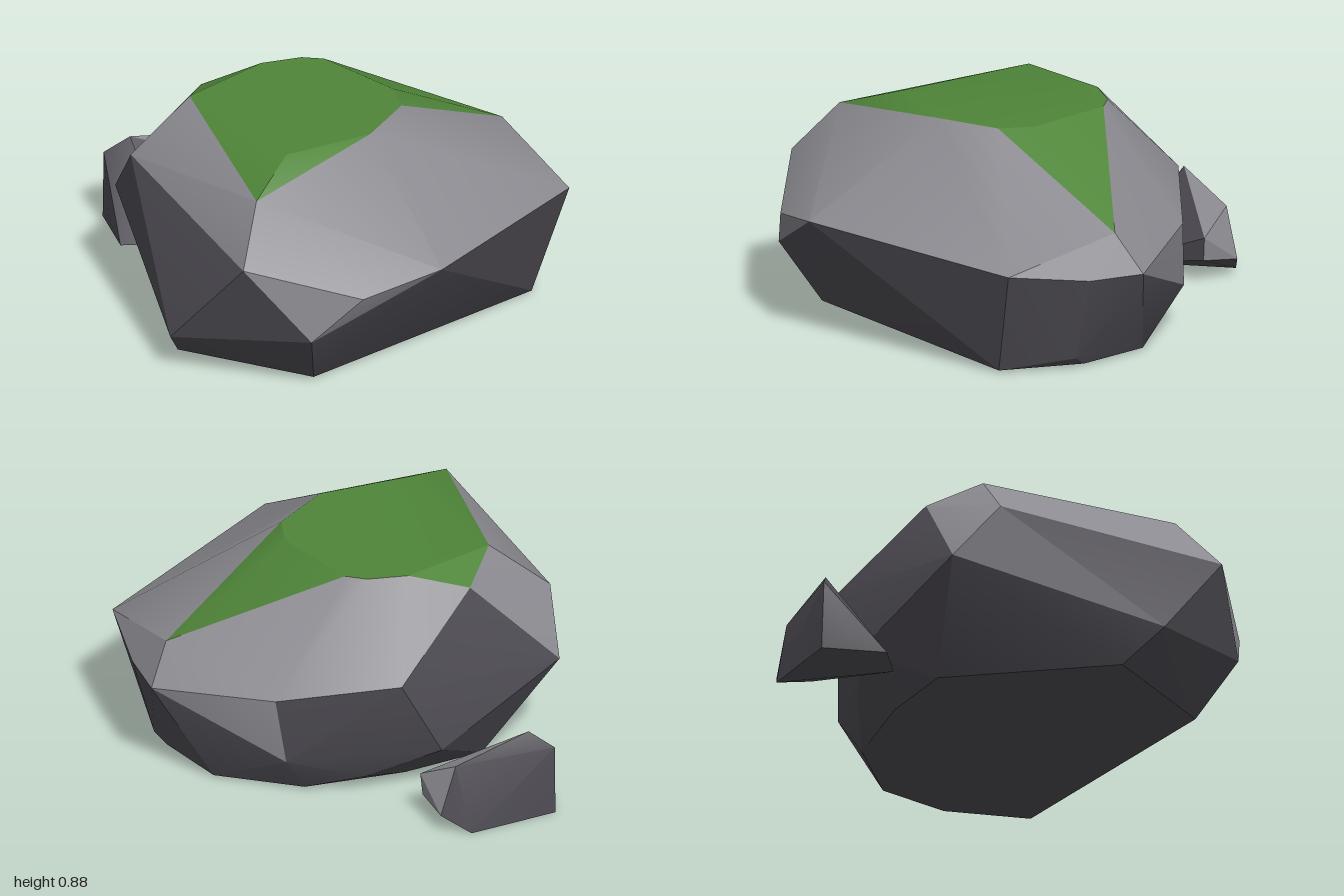
import * as THREE from 'three';
import { ConvexGeometry } from 'three/addons/geometries/ConvexGeometry.js';
import { toCreasedNormals } from 'three/addons/utils/BufferGeometryUtils.js';

const material = (name, color) => {
  const m = new THREE.MeshStandardMaterial({ color });
  m.name = name;
  return m;
};

// Hull of the tagged corner points, split into one mesh per colour.
// pick() receives the tags of a triangle's three corners and returns a part name.
function stone(name, groups, pick, materials) {
  const points = [], tags = new Map();
  const key = (v) => [v.x, v.y, v.z].map((n) => Math.round(n * 1000)).join();
  for (const [tag, list] of Object.entries(groups)) {
    for (const p of list) {
      const v = new THREE.Vector3(...p);
      points.push(v);
      tags.set(key(v), tag);
    }
  }
  const hull = toCreasedNormals(new ConvexGeometry(points), 0.4);
  const pos = hull.attributes.position, nor = hull.attributes.normal;
  const parts = {};
  const v = new THREE.Vector3();
  for (let i = 0; i < pos.count; i += 3) {
    const corners = [0, 1, 2].map((k) => tags.get(key(v.fromBufferAttribute(pos, i + k))));
    const part = (parts[pick(corners)] ??= { p: [], n: [] });
    part.p.push(...pos.array.slice(i * 3, i * 3 + 9));
    part.n.push(...nor.array.slice(i * 3, i * 3 + 9));
  }
  const group = new THREE.Group();
  group.name = name;
  for (const [part, { p, n }] of Object.entries(parts)) {
    const geo = new THREE.BufferGeometry();
    geo.setAttribute('position', new THREE.Float32BufferAttribute(p, 3));
    geo.setAttribute('normal', new THREE.Float32BufferAttribute(n, 3));
    const mesh = new THREE.Mesh(geo, materials[part]);
    mesh.name = part;
    group.add(mesh);
  }
  return group;
}

export function createModel() {
  const materials = {
    mossCap: material('moss green', 0x4f8539),
    paleStone: material('pale grey stone', 0x8b8a90),
    darkStone: material('dark grey stone', 0x4e4c53),
  };
  const model = new THREE.Group();
  model.name = 'mossyRocks';

  // Large boulder
  const boulder = {
    // flat top and its three drooping tips
    cap: [
      [-0.53, 0.88, -0.21], [-0.14, 0.88, -0.36], [0.03, 0.88, -0.34], [0.11, 0.88, -0.29],
      [0.26, 0.88, 0.07], [0.23, 0.88, 0.22], [0.01, 0.88, 0.4], [-0.38, 0.88, 0.43],
      [-0.59, 0.79, 0.6], [-0.39, 0.81, -0.41], [0.81, 0.57, -0.07],
    ],
    // shoulder where the pale upper slopes end
    shoulder: [
      [0.07, 0.52, 0.99], [0.89, 0.46, 0.43], [0.91, 0.41, 0.08], [0.9, 0.41, -0.16],
      [0.47, 0.46, -0.5], [-0.79, 0.66, -0.22], [-0.72, 0.57, 0.76],
      [-0.48, 0.26, 0.91], [-0.28, 0.45, 0.98],
    ],
    rear: [[-0.02, 0.54, -0.67]],
    spur: [[-0.77, 0.42, -0.42], [0.43, 0.18, -0.52]],
    // lower flanks and base
    base: [
      [-0.91, 0.16, 0.45], [-0.2, 0.2, -0.64], [0.81, 0.05, 0.1], [0.1, 0.07, -0.54],
      [-0.4, 0.01, 0.75], [-0.81, 0.01, 0.3], [-0.45, 0.01, -0.38], [-0.1, 0.01, -0.45],
      [0.33, 0.01, -0.45], [0.66, 0.01, -0.25], [0.77, 0.01, 0.05], [0.73, 0.01, 0.41],
    ],
  };
  model.add(stone('boulder', boulder, (c) => {
    if (c.every((t) => t === 'cap')) return 'mossCap';
    if (c.includes('base') || (c.includes('rear') && c.includes('spur'))) return 'darkStone';
    return 'paleStone';
  }, materials));

  // Small stone behind the boulder
  const pebble = {
    crest: [
      [-0.5, 0.37, -0.88], [-0.17, 0.29, -0.94], [-0.06, 0.2, -0.8],
      [-0.07, 0.1, -0.8], [-0.1, 0.08, -0.96],
    ],
    base: [
      [-0.6, 0.3, -0.92], [-0.63, 0.06, -0.8], [-0.64, 0, -0.66], [-0.45, 0.01, -0.57],
      [-0.22, 0, -1], [-0.6, 0, -0.93],
    ],
  };
  model.add(stone('smallStone', pebble,
    (c) => (c.includes('base') ? 'darkStone' : 'paleStone'), materials));

  return model;
}
